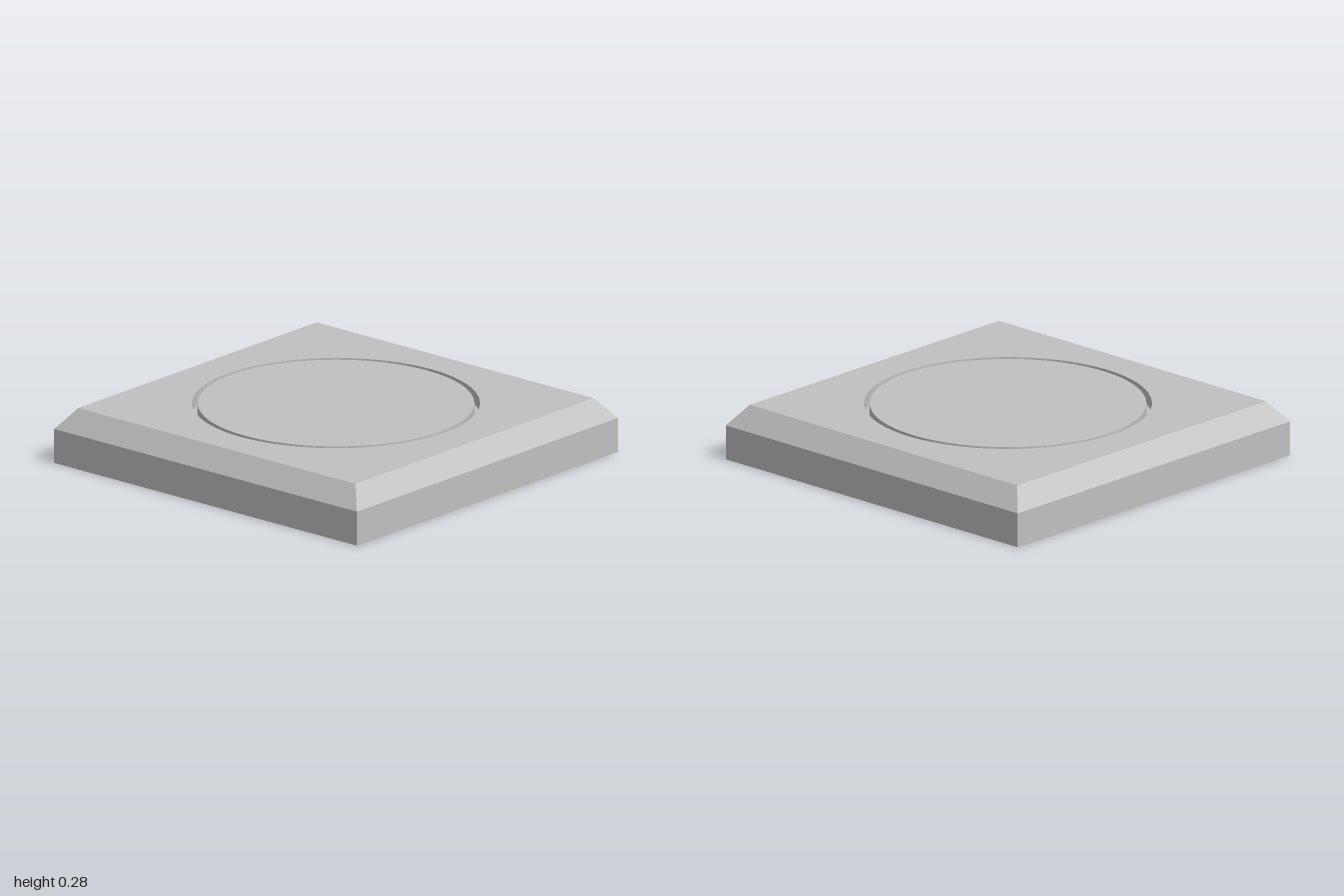
import * as THREE from 'three';

const W = 0.988, D = 1, SHOULDER = 0.178;      // outer skirt
const TW = 0.903, TD = 0.916, TOP = 0.285;     // top face
const R_OUT = 0.717, R_IN = 0.689, GROOVE_Y = 0.215;
const SEG = 96;

export function createModel() {
  const model = new THREE.Group();
  model.name = 'squareCover';
  const grey = new THREE.MeshStandardMaterial({ color: 0xc0c0c0, side: THREE.DoubleSide });
  grey.name = 'grey';

  const add = (name, geometry, y = 0) => {
    const mesh = new THREE.Mesh(geometry, grey);
    mesh.name = name;
    mesh.position.y = y;
    model.add(mesh);
  };

  // Four flat, outward-facing panels between two rectangles
  const band = (w0, d0, y0, w1, d1, y1) => {
    const corners = [[-1, 1], [1, 1], [1, -1], [-1, -1]];
    const pos = [];
    corners.forEach(([ax, az], i) => {
      const [bx, bz] = corners[(i + 1) % 4];
      const a = [ax * w0, y0, az * d0], b = [bx * w0, y0, bz * d0];
      const c = [bx * w1, y1, bz * d1], d = [ax * w1, y1, az * d1];
      pos.push(...a, ...b, ...c, ...a, ...c, ...d);
    });
    const g = new THREE.BufferGeometry();
    g.setAttribute('position', new THREE.Float32BufferAttribute(pos, 3));
    g.computeVertexNormals();
    return g;
  };

  // Open-bottomed thin shell
  add('skirt', band(W, D, 0, W, D, SHOULDER));
  add('bevel', band(W, D, SHOULDER, TW, TD, TOP));

  // Top face with a round opening
  const shape = new THREE.Shape([[-TW, -TD], [TW, -TD], [TW, TD], [-TW, TD]]
    .map(([x, y]) => new THREE.Vector2(x, y)));
  shape.holes.push(new THREE.Path().absarc(0, 0, R_OUT, 0, Math.PI * 2, true));
  add('topFace', new THREE.ShapeGeometry(shape, SEG / 2).rotateX(-Math.PI / 2), TOP);

  // Circular groove: outer wall (faces inward), floor and inner wall
  const depth = TOP - GROOVE_Y, middle = (TOP + GROOVE_Y) / 2;
  const wall = (r) => new THREE.CylinderGeometry(r, r, depth, SEG, 1, true);
  const outer = wall(R_OUT);
  outer.index.array.reverse();
  outer.attributes.normal.array.forEach((v, i, a) => { a[i] = -v; });
  add('grooveOuterWall', outer, middle);
  add('grooveFloor', new THREE.RingGeometry(R_IN, R_OUT, SEG).rotateX(-Math.PI / 2), GROOVE_Y);
  add('grooveInnerWall', wall(R_IN), middle);

  // Round centre panel, level with the top face
  add('centrePanel', new THREE.CircleGeometry(R_IN, SEG).rotateX(-Math.PI / 2), TOP);

  return model;
}
